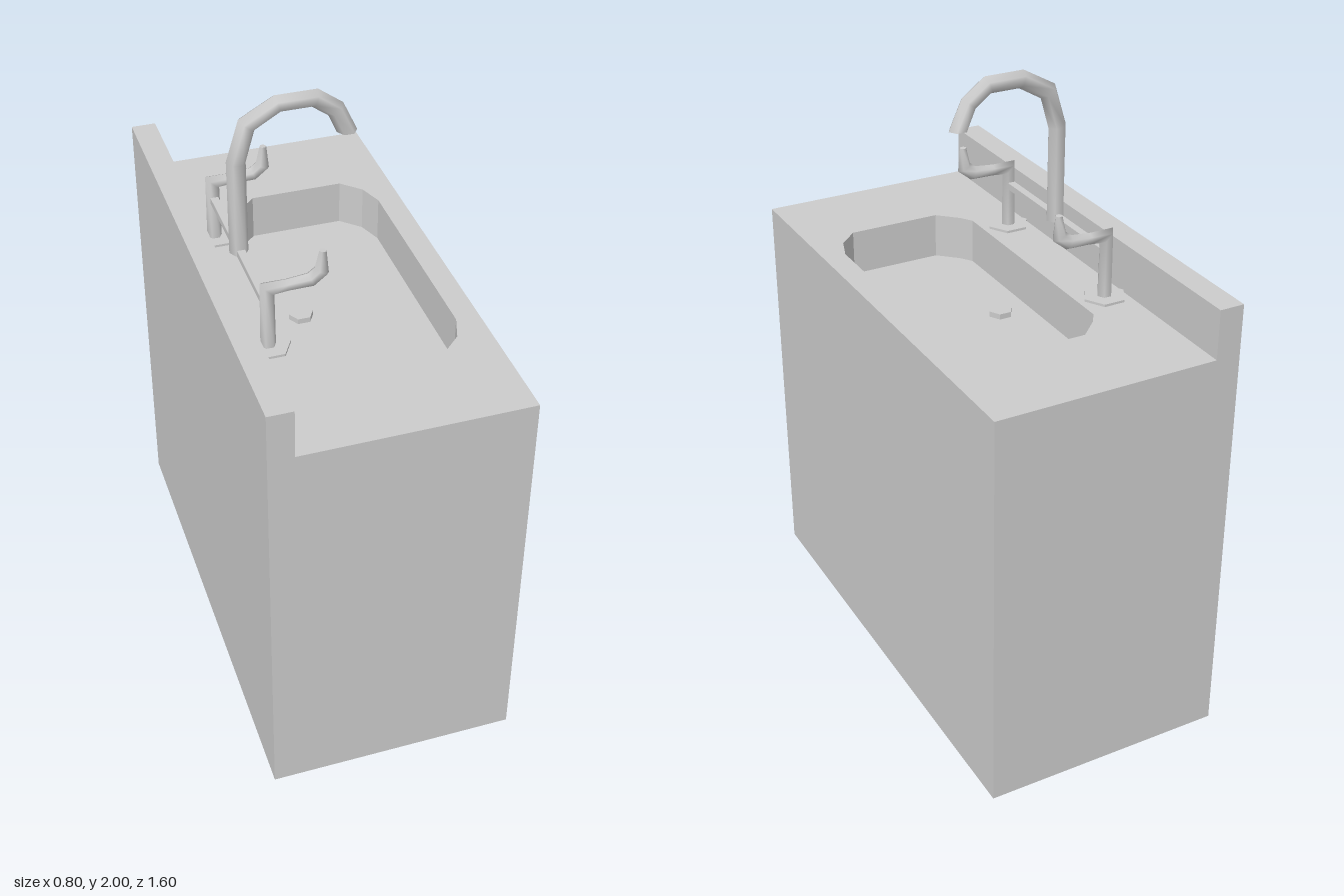
import * as THREE from 'three';

const material = new THREE.MeshStandardMaterial({ color: 0xcccccc });
const flat = new THREE.MeshStandardMaterial({ color: 0xcccccc, flatShading: true });

const COUNTER = 1.35, FLOOR = 1.2, PIPE_X = -0.25, TAP_Z = 0.305;

function add(parent, name, geometry, mat = flat, x = 0, y = 0, z = 0) {
  const mesh = new THREE.Mesh(geometry, mat);
  mesh.name = name;
  mesh.position.set(x, y, z);
  parent.add(mesh);
  return mesh;
}

// Box without one side (0..5 = +x, -x, +y, -y, +z, -z)
function openBox(w, h, d, missing) {
  const g = new THREE.BoxGeometry(w, h, d);
  const index = Array.from(g.index.array);
  index.splice(missing * 6, 6);
  g.setIndex(index);
  return g;
}

// Six-sided mitred tube along [x, y, radius] points in the xy plane
function hexTube(points, endDir) {
  const sides = 6, pos = [], index = [];
  const p = points.map(([x, y]) => new THREE.Vector2(x, y));
  const seg = p.slice(1).map((q, i) => q.clone().sub(p[i]).normalize());
  const rings = points.map(([x, y, r], i) => {
    const before = seg[Math.max(i - 1, 0)], after = seg[Math.min(i, seg.length - 1)];
    let dir = before.clone().add(after).normalize();
    if (endDir && i === points.length - 1) dir = endDir;
    const stretch = r / dir.dot(before);
    return Array.from({ length: sides }, (_, j) => {
      const a = (j / sides) * Math.PI * 2, c = Math.cos(a) * stretch;
      return [x - dir.y * c, y + dir.x * c, Math.sin(a) * r];
    });
  });
  rings.forEach((ring) => ring.forEach((v) => pos.push(...v)));
  for (let i = 0; i < rings.length - 1; i++) {
    for (let j = 0; j < sides; j++) {
      const a = i * sides + j, b = i * sides + (j + 1) % sides;
      index.push(a, b, a + sides, b, b + sides, a + sides);
    }
  }
  // End caps with their own vertices, so the rims stay sharp
  [rings[0], rings[rings.length - 1]].forEach((ring, end) => {
    const s = pos.length / 3;
    ring.forEach((v) => pos.push(...v));
    for (let j = 1; j < sides - 1; j++) {
      index.push(s, ...(end ? [s + j, s + j + 1] : [s + j + 1, s + j]));
    }
  });
  const g = new THREE.BufferGeometry();
  g.setAttribute('position', new THREE.Float32BufferAttribute(pos, 3));
  g.setIndex(index);
  g.computeVertexNormals();
  return g;
}

// Basin outline, counter-clockwise in (x, -z)
function basinOutline() {
  const half = [[0.325, 0.35], [0.297, 0.43], [0.235, 0.49], [-0.07, 0.49], [-0.133, 0.43], [-0.16, 0.39]];
  const other = half.map(([x, z]) => [x, -z]).reverse();
  return [...half, ...other].map(([x, z]) => new THREE.Vector2(x, z));
}

// Vertical walls facing the inside of the basin
function basinWalls(outline) {
  const pos = [];
  outline.forEach((a, i) => {
    const b = outline[(i + 1) % outline.length];
    const a0 = [a.x, FLOOR, -a.y], a1 = [a.x, COUNTER, -a.y];
    const b0 = [b.x, FLOOR, -b.y], b1 = [b.x, COUNTER, -b.y];
    pos.push(...a0, ...a1, ...b0, ...b0, ...a1, ...b1);
  });
  const g = new THREE.BufferGeometry();
  g.setAttribute('position', new THREE.Float32BufferAttribute(pos, 3));
  g.computeVertexNormals();
  return g;
}

function createSink() {
  const sink = new THREE.Group();
  sink.name = 'sinkCabinet';
  add(sink, 'cabinet', openBox(0.8, COUNTER, 1.6, 2), flat, 0, COUNTER / 2, 0);
  add(sink, 'backsplash', openBox(0.08, 0.16, 1.6, 3), flat, -0.36, COUNTER + 0.08, 0);

  const outline = basinOutline();
  const top = new THREE.Shape([[-0.32, -0.8], [0.4, -0.8], [0.4, 0.8], [-0.32, 0.8]].map(([x, y]) => new THREE.Vector2(x, y)));
  top.holes.push(new THREE.Path(outline));
  add(sink, 'countertop', new THREE.ShapeGeometry(top).rotateX(-Math.PI / 2), flat, 0, COUNTER, 0);
  add(sink, 'basinWalls', basinWalls(outline));
  add(sink, 'basinFloor', new THREE.ShapeGeometry(new THREE.Shape(outline)).rotateX(-Math.PI / 2), flat, 0, FLOOR, 0);
  add(sink, 'drain', hexDisc(0.04, 0.018), flat, -0.055, FLOOR + 0.009, 0);
  return sink;
}

// Hexagonal disc with corners towards +x and -x
function hexDisc(radius, height) {
  return new THREE.CylinderGeometry(radius, radius, height, 6).rotateY(Math.PI / 2);
}

function createFaucet() {
  const faucet = new THREE.Group();
  faucet.name = 'faucet';

  // Gooseneck spout with a level outlet
  add(faucet, 'spout', hexTube([
    [PIPE_X, 1.49, 0.03], [PIPE_X, 1.803, 0.03], [-0.215, 1.92, 0.029], [-0.122, 1.973, 0.028],
    [-0.008, 1.973, 0.028], [0.056, 1.926, 0.028], [0.091, 1.848, 0.029],
  ], new THREE.Vector2(0, -1)), material);
  add(faucet, 'crossBar', new THREE.BoxGeometry(0.025, 0.022, TAP_Z * 2 - 0.01), flat, PIPE_X, 1.499, 0);

  // Two taps: riser and tapered lever in one tube, on a flange
  const tap = hexTube([
    [PIPE_X, COUNTER, 0.024], [PIPE_X, 1.556, 0.022], [-0.19, 1.558, 0.019],
    [-0.118, 1.562, 0.022], [-0.085, 1.588, 0.022], [-0.082, 1.655, 0.011],
  ]);
  for (const side of [1, -1]) {
    const name = side > 0 ? 'front' : 'rear';
    add(faucet, name + 'Tap', tap, material, 0, 0, side * TAP_Z);
    add(faucet, name + 'TapFlange', hexDisc(0.07, 0.008), flat, PIPE_X, COUNTER + 0.004, side * TAP_Z);
  }
  return faucet;
}

export function createModel() {
  const model = new THREE.Group();
  model.name = 'sink';
  model.add(createSink(), createFaucet());
  return model;
}
